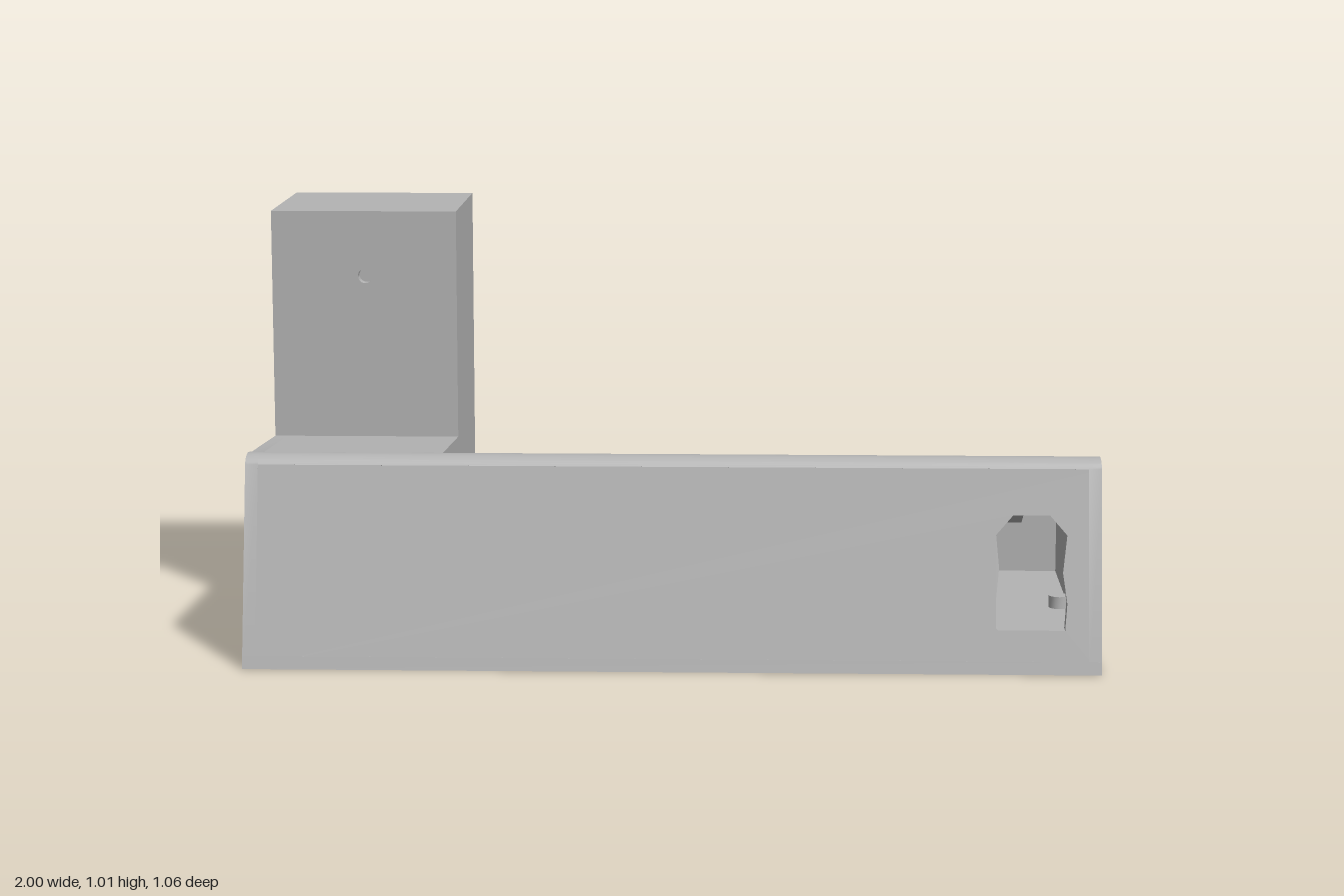
import * as THREE from 'three';
import { toCreasedNormals } from 'three/addons/utils/BufferGeometryUtils.js';

const T = 0.03; // wall thickness

export function createModel() {
  const group = new THREE.Group();
  const grey = new THREE.MeshStandardMaterial({ color: 0xb4b4b4 });
  grey.name = 'grey plastic';

  const add = (name, geo) => {
    const mesh = new THREE.Mesh(toCreasedNormals(geo, 0.5), grey);
    mesh.name = name;
    group.add(mesh);
    return mesh;
  };
  const polygon = (pts) => new THREE.Shape(pts.map(([a, b]) => new THREE.Vector2(a, b)));
  const extrude = (shape, depth) =>
    new THREE.ExtrudeGeometry(shape, { depth, bevelEnabled: false, curveSegments: 12 });
  // Extrudes a (z, y) profile along x from x0 to x1
  const along = (name, shape, x0, x1) =>
    add(name, extrude(shape, x1 - x0).rotateY(-Math.PI / 2).translate(x1, 0, 0));
  const box = (name, x0, x1, y0, y1, z0, z1) =>
    add(name, new THREE.BoxGeometry(x1 - x0, y1 - y0, z1 - z0)
      .translate((x0 + x1) / 2, (y0 + y1) / 2, (z0 + z1) / 2));
  const hole = (x, y, r) => new THREE.Path().absarc(x, y, r, 0, Math.PI * 2, true);

  // Rounded nose over the front wall, and rounded heel at the back
  const nose = (s) => s.bezierCurveTo(0.41, 0.488, 0.372, 0.49, 0.33, 0.478);
  const heel = (s) => s.quadraticCurveTo(-0.5, 0.236, -0.5, 0.2);

  // Side plates
  const rightSide = new THREE.Shape().moveTo(0.53, 0).lineTo(0.42, 0.465);
  nose(rightSide);
  rightSide.lineTo(-0.055, 0.45).lineTo(-0.055, 1.01).lineTo(-0.5, 1.01).lineTo(-0.5, 0);
  along('tallSidePlate', rightSide, -1, -1 + T);

  const leftSide = new THREE.Shape().moveTo(0.53, 0).lineTo(0.42, 0.465);
  nose(leftSide);
  leftSide.lineTo(-0.47, 0.245);
  heel(leftSide);
  leftSide.lineTo(-0.5, 0);
  along('lowSidePlate', leftSide, 1 - T, 1);

  // Sloping front wall with its socket cut-out
  const front = polygon([[-1, 0], [1, 0], [1, 0.465], [-1, 0.465]]);
  front.holes.push(polygon([[0.755, 0.105], [0.76, 0.1], [0.915, 0.1], [0.92, 0.16], [0.91, 0.23],
    [0.92, 0.315], [0.88, 0.36], [0.795, 0.36], [0.755, 0.315], [0.762, 0.24], [0.755, 0.17]]));
  const frontGeo = extrude(front, T).translate(0, 0, -T);
  const p = frontGeo.attributes.position;
  for (let i = 0; i < p.count; i++) p.setZ(i, p.getZ(i) + 0.53 - p.getY(i) * 0.2366);
  frontGeo.computeVertexNormals();
  add('frontWall', frontGeo);

  // Floor
  along('floor', polygon([[0.53, 0], [0.523, T], [-0.5, T], [-0.5, 0]]), -1, 1);

  // Front rim
  const rim = new THREE.Shape().moveTo(0.395, 0.448).lineTo(0.42, 0.465);
  nose(rim);
  rim.lineTo(0.33, 0.448);
  along('frontRim', rim, -1 + T, 1 - T);

  // Back wall of the console
  const back = new THREE.Shape().moveTo(-0.47, 0).lineTo(-0.47, 0.245);
  heel(back);
  back.lineTo(-0.5, 0);
  along('backWall', back, -0.545, 1 - T);

  // Sloping deck on both sides of the opening
  for (const [x0, x1] of [[-0.545, -0.405], [0.93, 1 - T]]) {
    along('slopingDeck', polygon([[0.33, 0.478], [-0.47, 0.245], [-0.47, 0.215], [0.33, 0.448]]), x0, x1);
  }

  // Ledges sunk below the opening
  along('frontLedge', polygon([[0.3, 0.405], [0.3, 0.395], [0.41, 0.36], [0.405, 0.436]]), -0.545, 0.88);
  along('backLedge', polygon([[-0.4, 0.201], [-0.47, 0.181], [-0.47, 0.158], [-0.4, 0.192]]), -0.545, 0.88);

  // Deck in front of the tower
  along('upperDeck', polygon([[0.33, 0.478], [-0.085, 0.448], [-0.085, 0.418], [0.33, 0.448]]), -1 + T, -0.545);
  along('deckCheek', polygon([[0.33, 0.478], [-0.055, 0.45], [-0.055, 0.366]]), -0.545 - T, -0.545);

  // Tower
  const towerFront = polygon([[-1, 0.45], [-0.545, 0.45], [-0.545, 1.01], [-1, 1.01]]);
  towerFront.holes.push(hole(-0.77, 0.85, 0.018));
  add('towerFront', extrude(towerFront, T).translate(0, 0, -0.055 - T));

  const towerBack = polygon([[-1, 0], [-0.545, 0], [-0.545, 1.01], [-1, 1.01]]);
  for (const x of [-0.97, -0.575]) for (const y of [0.1, 0.985]) towerBack.holes.push(hole(x, y, 0.011));
  add('towerBack', extrude(towerBack, T).translate(0, 0, -0.5));

  along('towerInnerSide', polygon([[-0.055, 0.366], [-0.055, 1.01], [-0.5, 1.01], [-0.5, 0.2], [-0.47, 0.245]]),
    -0.545 - T, -0.545);
  box('towerTop', -1, -0.545, 1.01 - T, 1.01, -0.5, -0.055);

  // Cable peg at the back
  add('cablePeg', new THREE.CylinderGeometry(0.016, 0.016, 0.06, 20)
    .rotateX(Math.PI / 2).translate(-0.77, 0.04, -0.5));

  // Screw posts on the floor
  for (const [x, z] of [[0.945, -0.05], [0.93, 0.44]]) {
    add('screwPost', new THREE.CylinderGeometry(0.025, 0.025, 0.03, 16).translate(x, T + 0.015, z));
  }
  return group;
}
